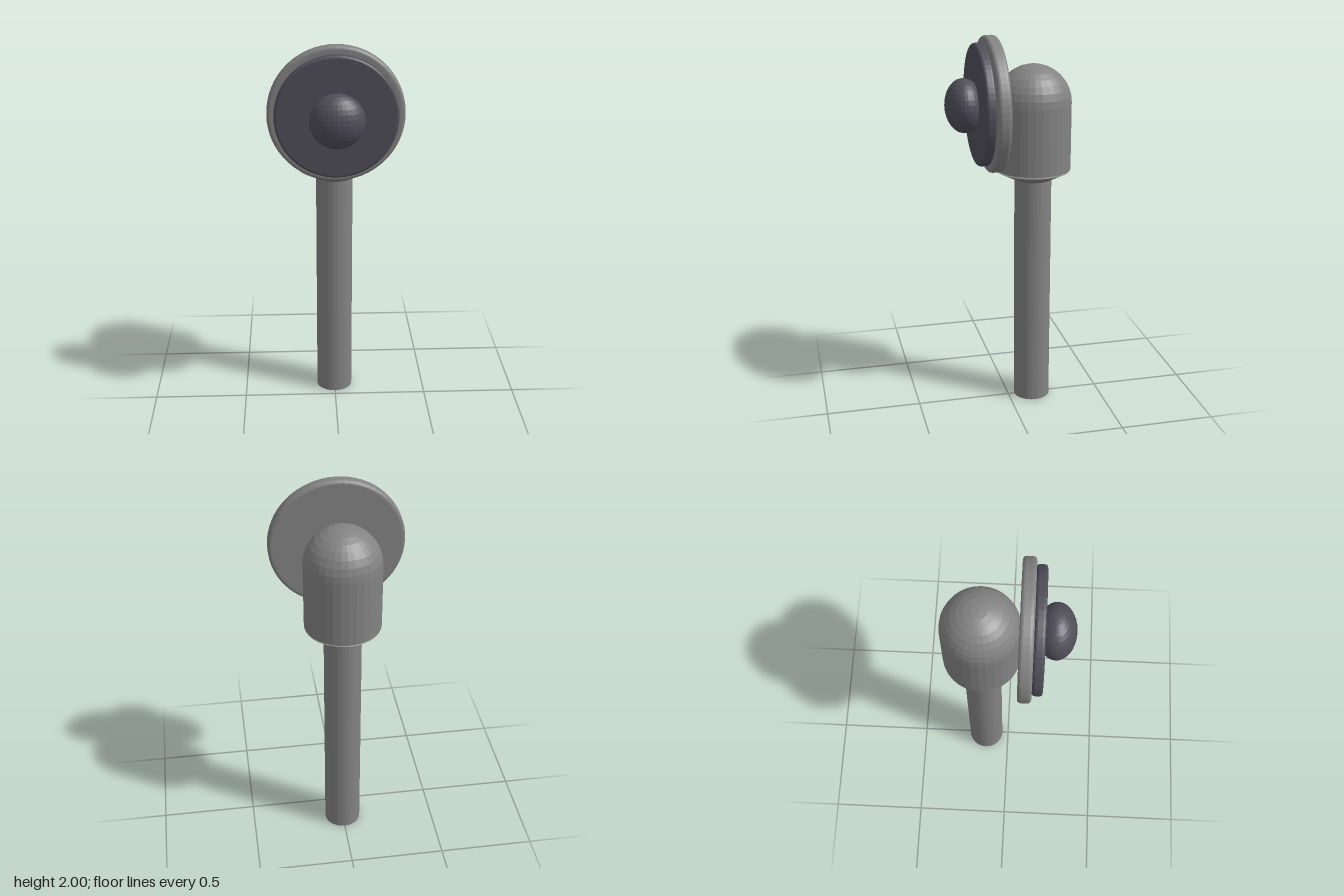
import * as THREE from 'three';

const AXIS_Z = -0.132; // upright parts
const HEAD_Y = 1.654; // centre of the round face

export function createModel() {
  const group = new THREE.Group();
  const grey = new THREE.MeshStandardMaterial({ color: 0x838383, flatShading: true });
  const dark = new THREE.MeshStandardMaterial({ color: 0x504e58, flatShading: true });

  const add = (name, geometry, material, y, z) => {
    const mesh = new THREE.Mesh(geometry, material);
    mesh.name = name;
    mesh.position.set(0, y, z);
    group.add(mesh);
    return mesh;
  };
  const lathe = (points, segments) =>
    new THREE.LatheGeometry(points.map(([r, y]) => new THREE.Vector2(r, y)), segments);

  // Disc facing +z with a rounded rim, back face at z
  const disc = (name, radius, depth, bevel, material, z) => {
    const points = [[0, 0]];
    for (const [y, start] of [[bevel, -Math.PI / 2], [depth - bevel, 0]]) {
      for (let i = 0; i <= 4; i++) {
        const a = start + (i / 4) * Math.PI / 2;
        points.push([radius - bevel + bevel * Math.cos(a), y + bevel * Math.sin(a)]);
      }
    }
    points.push([0, depth]);
    add(name, lathe(points, 64), material, HEAD_Y, z).rotation.x = Math.PI / 2;
  };

  // Upright post
  add('post', new THREE.CylinderGeometry(0.097, 0.097, 1.25, 32), grey, 0.625, AXIS_Z);

  // Flared collar under the housing
  add('collar', lathe([[0, 1.25], [0.097, 1.25], [0.193, 1.299], [0.175, 1.308], [0, 1.308]], 32), grey, 0, AXIS_Z);

  // Housing with a domed top
  const housing = [[0, 1.308], [0.196, 1.308], [0.196, HEAD_Y]];
  for (let i = 1; i <= 8; i++) {
    const a = (i / 8) * Math.PI / 2;
    housing.push([i === 8 ? 0 : 0.196 * Math.cos(a), HEAD_Y + 0.196 * Math.sin(a)]);
  }
  add('housing', lathe(housing, 32), grey, 0, AXIS_Z);

  // Round face, its inset plate and the knob
  disc('backDisc', 0.346, 0.067, 0.018, grey, 0.056);
  disc('frontDisc', 0.31, 0.052, 0.014, dark, 0.123);
  add('knob', new THREE.SphereGeometry(0.138, 32, 16), dark, HEAD_Y, 0.23).scale.z = 0.7;

  return group;
}
